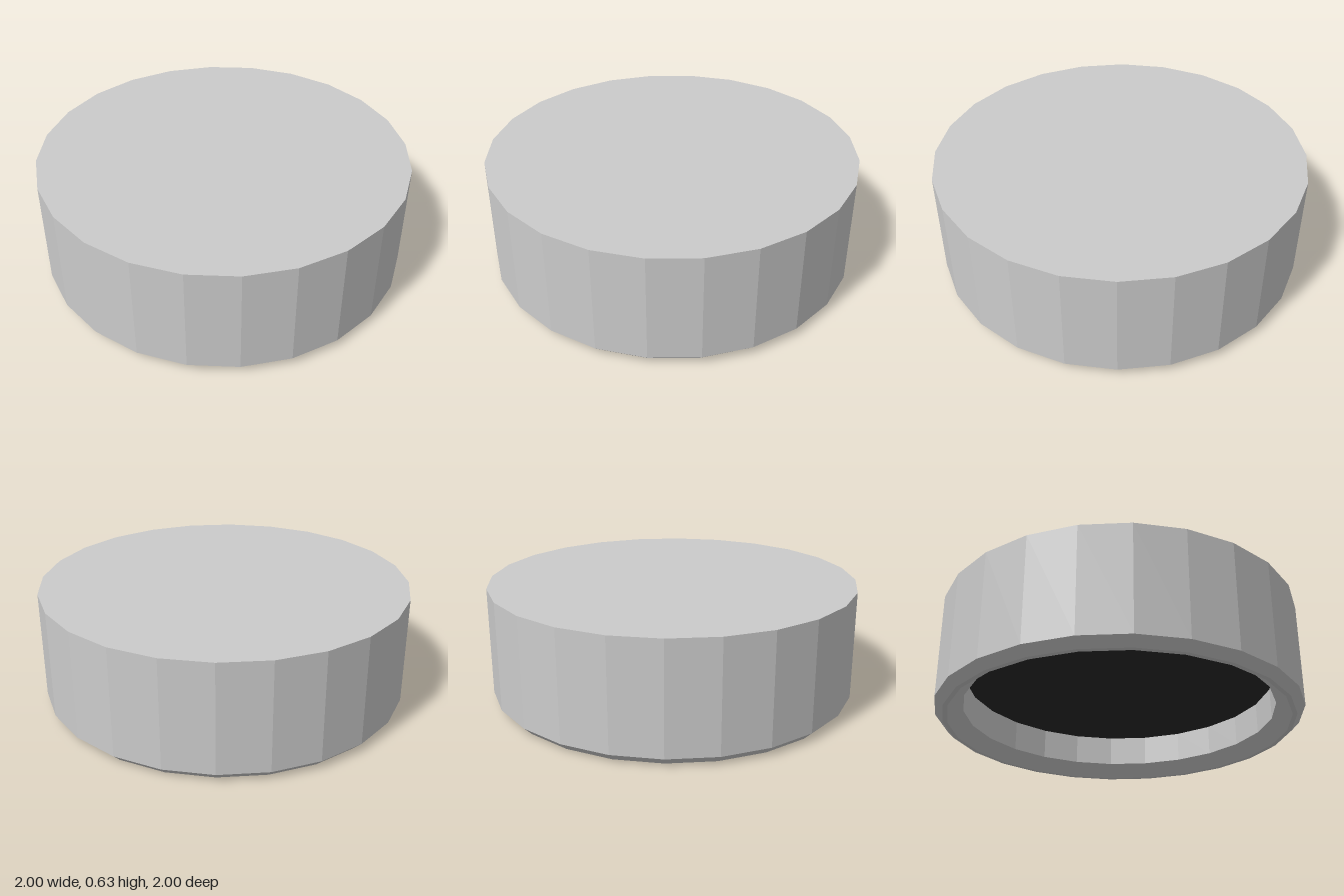
import * as THREE from 'three';

const SIDES = 24;
const INNER_RADIUS = 0.85;
const CEILING_Y = 0.245;

export function createModel() {
  const model = new THREE.Group();
  model.name = 'cap';

  // Cap shell: inner wall, chamfered rim, outer wall and flat top
  const profile = [
    [INNER_RADIUS, CEILING_Y],
    [INNER_RADIUS, 0.07],
    [0.93, 0],
    [0.955, 0],
    [1, 0.045],
    [1, 0.63],
    [0, 0.63],
  ].map(([r, y]) => new THREE.Vector2(r, y));
  const shell = new THREE.Mesh(
    new THREE.LatheGeometry(profile, SIDES),
    new THREE.MeshStandardMaterial({ color: 0xcccccc, flatShading: true })
  );
  shell.name = 'shell';
  model.add(shell);

  // Dark liner closing the recess, facing down
  const liner = new THREE.Mesh(
    new THREE.CircleGeometry(INNER_RADIUS, SIDES).rotateX(Math.PI / 2),
    new THREE.MeshStandardMaterial({ color: 0x2a2a2a })
  );
  liner.name = 'liner';
  liner.position.y = CEILING_Y;
  model.add(liner);

  return model;
}
